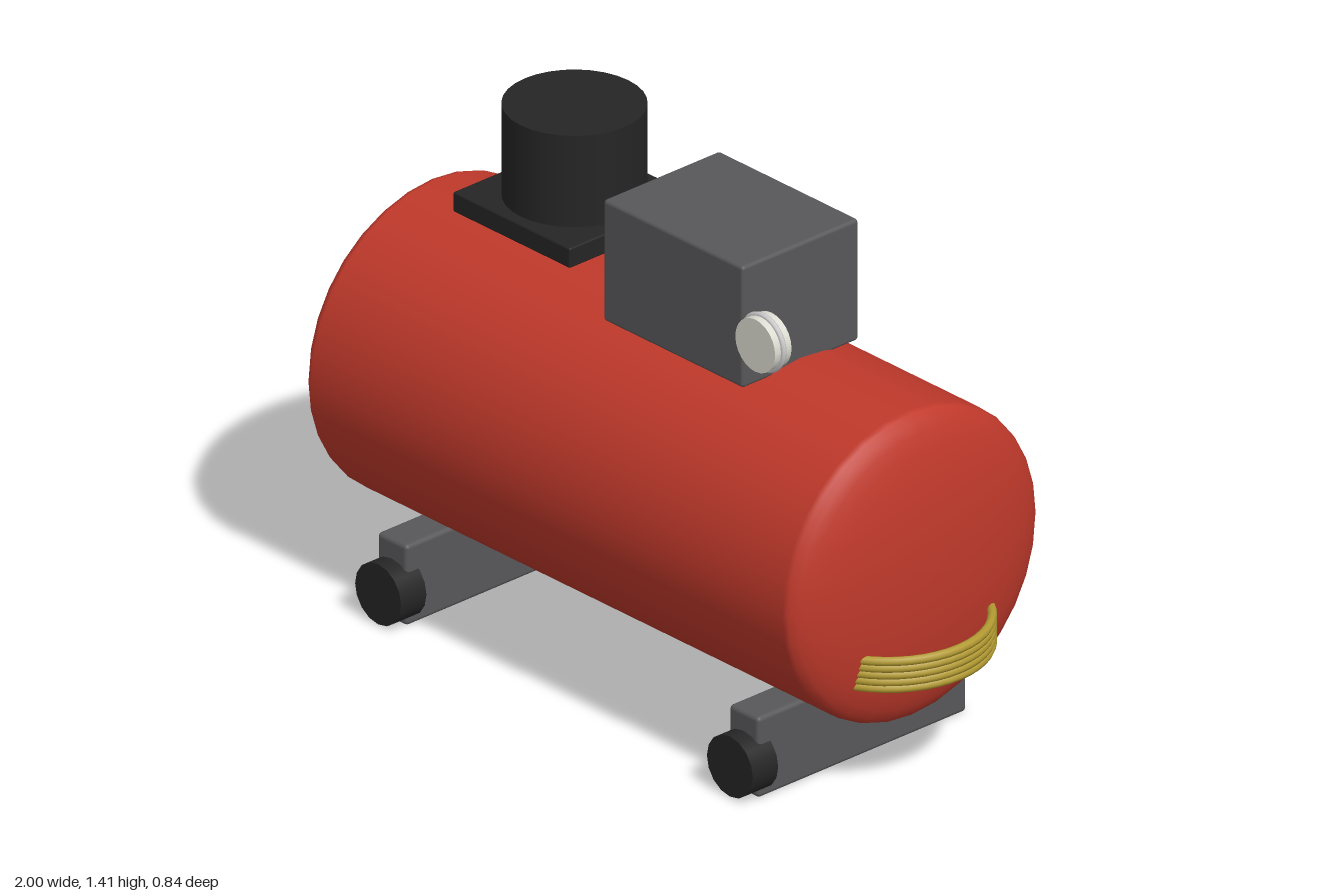
import * as THREE from 'three';
import { RoundedBoxGeometry } from 'three/addons/geometries/RoundedBoxGeometry.js';

const mat = (color) => new THREE.MeshStandardMaterial({ color });

export function createModel() {
  const model = new THREE.Group();
  model.name = 'airCompressor';
  const red = mat(0xc0392b), grey = mat(0x58585a), black = mat(0x252525);
  const gold = mat(0xb39b32), cream = mat(0xdcdcd2), steel = mat(0xcccccc);

  const add = (name, geometry, material, x, y, z) => {
    const mesh = new THREE.Mesh(geometry, material);
    mesh.name = name;
    mesh.position.set(x, y, z);
    model.add(mesh);
    return mesh;
  };

  // Horizontal tank: straight shell with shallow elliptical ends
  const R = 0.42, half = 0.85, dome = 0.1, steps = 10;
  const profile = [];
  for (let i = 0; i <= steps; i++) {
    const a = (i / steps) * Math.PI / 2;
    profile.push(new THREE.Vector2(R * Math.sin(a), -half - dome * Math.cos(a)));
  }
  for (let i = steps; i >= 0; i--) {
    profile.push(new THREE.Vector2(profile[i].x, -profile[i].y));
  }
  const tank = add('tank', new THREE.LatheGeometry(profile, 32), red, -0.05, 0.595, 0);
  tank.rotation.z = -Math.PI / 2;

  // Motor housing
  add('motorHousing', new RoundedBoxGeometry(0.505, 0.335, 0.39, 2, 0.01), grey, 0.163, 1.163, 0);

  // Pump head on its square plate
  add('pumpPlate', new RoundedBoxGeometry(0.422, 0.055, 0.422, 2, 0.005), black, -0.403, 1.133, 0);
  add('pumpCylinder', new THREE.CylinderGeometry(0.18, 0.18, 0.26, 32), black, -0.402, 1.282, 0);

  // Pressure gauge facing the front
  const gauge = add('gauge', new THREE.CylinderGeometry(0.072, 0.072, 0.055, 24), cream, 0.585, 1.219, 0.283);
  gauge.rotation.x = Math.PI / 2;
  add('gaugeRing', new THREE.TorusGeometry(0.072, 0.008, 8, 32), steel, 0.585, 1.219, 0.283);

  // Feet, each with a round wheel at the front end
  for (const x of [-0.685, 0.585]) {
    add('foot', new RoundedBoxGeometry(0.108, 0.222, 0.7, 2, 0.012), grey, x, 0.113, 0);
    const wheel = add('wheel', new THREE.CylinderGeometry(0.083, 0.083, 0.085, 16), black, x, 0.088, 0.353);
    wheel.rotation.x = Math.PI / 2;
  }

  // Coiled hose, partly sunk into the tank end
  for (let i = 0; i < 5; i++) {
    const coil = add('hoseCoil', new THREE.TorusGeometry(0.257, 0.012, 8, 48), gold, 0.729, 0.351 + i * 0.0185, 0);
    coil.rotation.x = Math.PI / 2;
  }
  return model;
}
